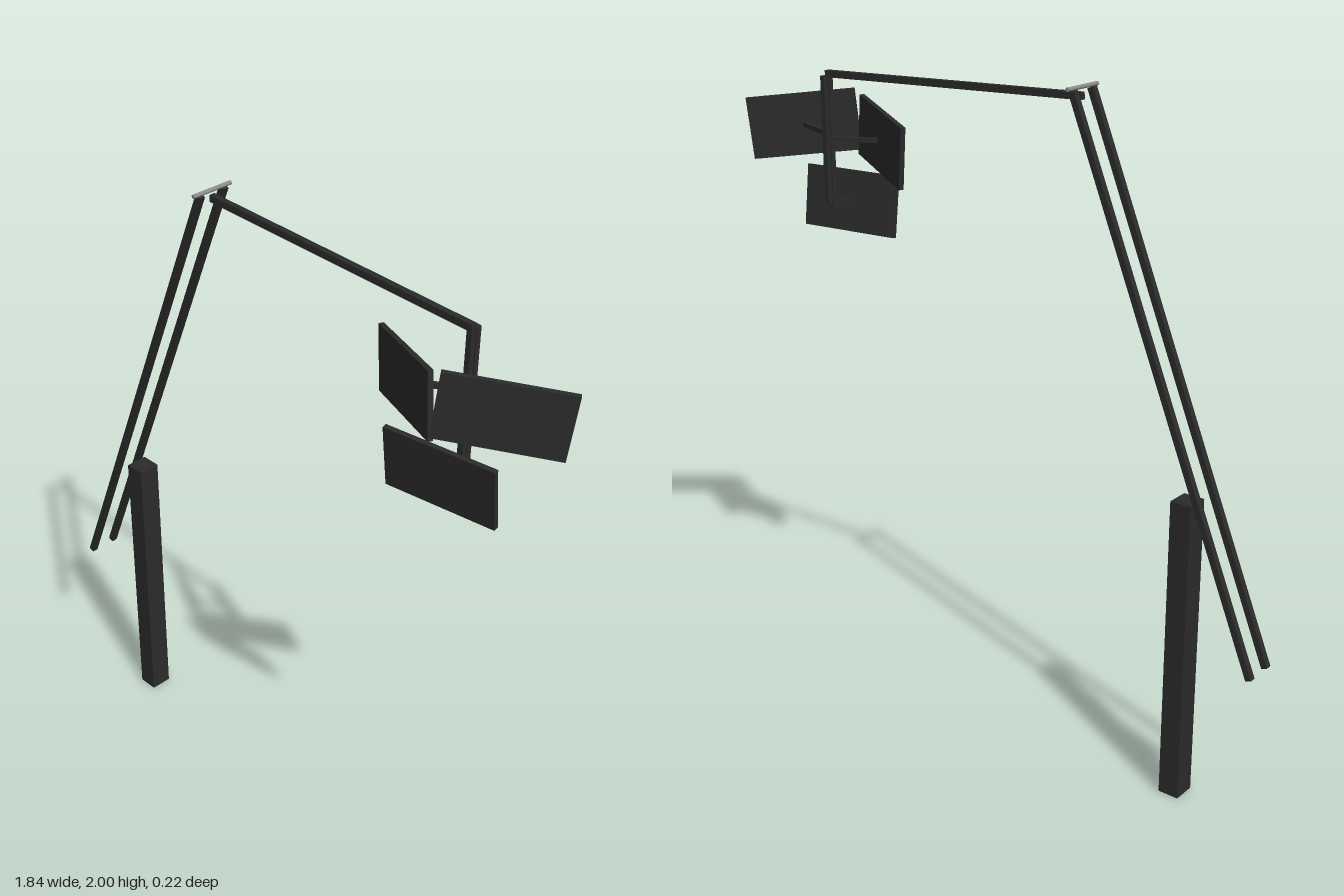
import * as THREE from 'three';

export function createModel() {
  const model = new THREE.Group();
  const dark = new THREE.MeshStandardMaterial({ color: 0x2b2b2b });
  dark.name = 'charcoal metal';
  const grey = new THREE.MeshStandardMaterial({ color: 0x8c8c8c });
  grey.name = 'grey steel';

  // Square bar running from point a to point b
  function bar(name, a, b, width, depth = width) {
    const from = new THREE.Vector3(...a), to = new THREE.Vector3(...b);
    const mesh = new THREE.Mesh(new THREE.BoxGeometry(width, depth, from.distanceTo(to)), dark);
    mesh.position.copy(from).add(to).multiplyScalar(0.5);
    mesh.lookAt(to);
    mesh.name = name;
    model.add(mesh);
  }

  // Upright post
  const midZ = -0.042;
  const post = new THREE.Mesh(new THREE.BoxGeometry(0.064, 0.92, 0.07), dark);
  post.position.set(-0.666, 0.46, midZ);
  post.name = 'post';
  model.add(post);

  // Pair of leaning beams either side of the post
  for (const side of [-1, 1]) {
    const z = midZ + side * 0.043;
    bar('leaningBeam', [-0.913, 0.472, z], [-0.294, 1.988, z], 0.019);
  }

  // Pin joining the beam tops
  const pin = new THREE.Mesh(new THREE.CylinderGeometry(0.006, 0.006, 0.136, 12), grey);
  pin.rotation.x = Math.PI / 2;
  pin.position.set(-0.292, 1.994, midZ + 0.002);
  pin.name = 'topPin';
  model.add(pin);

  // Arm, its hanging drop and the rear rail that carries the struts
  bar('arm', [-0.295, 1.97, midZ], [0.632, 1.939, midZ], 0.018, 0.02);
  bar('drop', [0.625, 1.945, midZ], [0.625, 1.53, midZ], 0.016);
  bar('rearRail', [0.625, 1.935, -0.062], [0.625, 1.55, -0.062], 0.016);

  // Flat panels on struts: centre, rotation (tilt, yaw, roll), strut heights at rail and panel
  const panels = [
    { name: 'leftHandPanel', at: [0.474, 1.748, 0.014], turn: [0, -0.464, 0.136], end: [0.485, 1.75, 0.008] },
    { name: 'rightHandPanel', at: [0.773, 1.769, -0.005], turn: [0, 0.62, -0.098], end: [0.765, 1.768, -0.008] },
    { name: 'lowerPanel', at: [0.626, 1.543, 0.038], turn: [0.13, 0.12, -0.01], end: [0.626, 1.545, 0.034] },
  ];
  for (const { name, at, turn, end } of panels) {
    const panel = new THREE.Mesh(new THREE.BoxGeometry(0.334, 0.187, 0.015), dark);
    panel.position.set(...at);
    panel.rotation.set(...turn, name === 'lowerPanel' ? 'XYZ' : 'YXZ');
    panel.name = name;
    model.add(panel);
    const railY = name === 'lowerPanel' ? 1.575 : end[1];
    bar(name + 'Strut', [0.625, railY, -0.064], end, 0.014);
  }

  return model;
}
